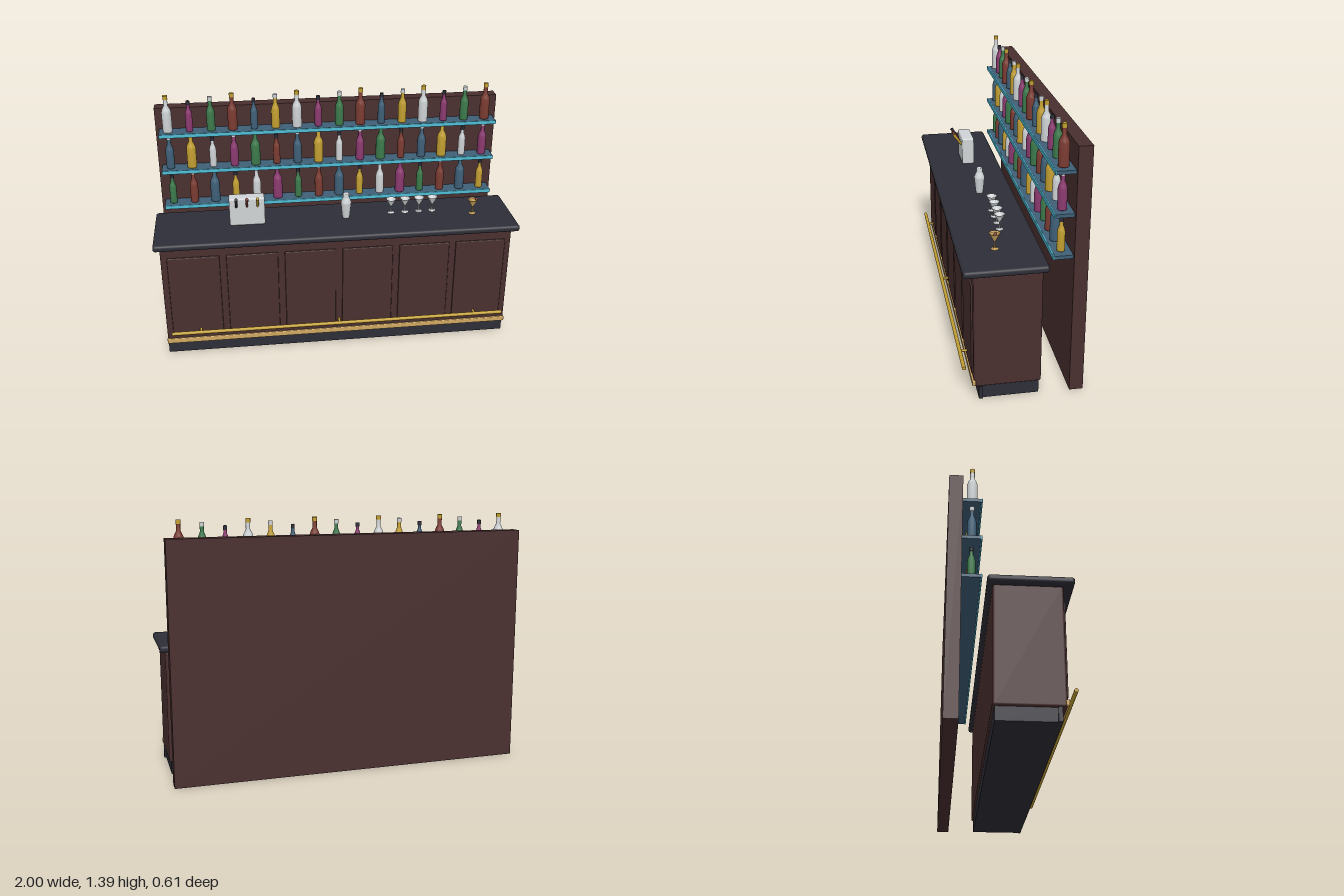
import * as THREE from 'three';
import { RoundedBoxGeometry } from 'three/addons/geometries/RoundedBoxGeometry.js';

const mat = (name, color, side = THREE.FrontSide) =>
  new THREE.MeshStandardMaterial({ name, color, side });

export function createModel() {
  const M = {
    wood: mat('dark wood', 0x4a2f2f),
    dark: mat('charcoal', 0x2e2e38),
    gold: mat('gold', 0xc4a032),
    tan: mat('brass', 0xd0a860, THREE.DoubleSide),
    blue: mat('slate blue', 0x3f6078),
    cyan: mat('cyan', 0x4fbdd6),
    silver: mat('silver', 0xd0d4d6, THREE.DoubleSide),
    plum: mat('plum glass', 0x8c3a70),
    green: mat('green glass', 0x3c7a4c),
    brown: mat('amber glass', 0x7c3c32),
  };
  const model = new THREE.Group();
  model.name = 'bar';

  const add = (name, geo, material, x, y, z, parent = model) => {
    const m = new THREE.Mesh(geo, material);
    m.name = name;
    m.position.set(x, y, z);
    parent.add(m);
    return m;
  };
  const box = (w, h, d) => new THREE.BoxGeometry(w, h, d);
  const lathe = (pts, n = 16) =>
    new THREE.LatheGeometry(pts.map(([r, y]) => new THREE.Vector2(r, y)), n);

  // Counter: plinth, body, raised panels, worktop
  add('plinth', box(1.92, 0.07, 0.3), M.dark, 0, 0.035, 0.072);
  add('plinthFront', box(1.94, 0.07, 0.02), M.dark, 0, 0.035, 0.214);
  add('counterBody', new RoundedBoxGeometry(1.94, 0.615, 0.337, 2, 0.012), M.wood, 0, 0.3775, 0.079);
  for (let i = 0; i < 6; i++) {
    add('frontPanel', new RoundedBoxGeometry(0.282, 0.49, 0.022, 2, 0.005), M.wood,
      (i - 2.5) * 0.318, 0.375, 0.246);
  }
  add('worktop', new RoundedBoxGeometry(2, 0.037, 0.415, 3, 0.015), M.dark, 0, 0.704, 0.0925);

  // Kick strip and foot rail
  add('kickStrip', new RoundedBoxGeometry(1.945, 0.03, 0.018, 2, 0.005), M.tan, 0, 0.092, 0.248);
  add('footRail', new THREE.CylinderGeometry(0.01, 0.01, 1.88, 12).rotateZ(Math.PI / 2),
    M.gold, 0, 0.165, 0.293);
  for (const x of [-0.78, 0, 0.78]) {
    add('railBracket', new THREE.CylinderGeometry(0.007, 0.007, 0.05, 10).rotateX(Math.PI / 2),
      M.gold, x, 0.165, 0.27);
  }

  // Back wall
  add('backWall', box(1.94, 1.3, 0.07), M.wood, 0, 0.65, -0.27);

  // Bottles in three repeating sizes: body radius, body, shoulder and total height
  const sizes = [
    { r: 0.027, body: 0.115, neck: 0.153, h: 0.21, nr: 0.0115, cap: M.gold },
    { r: 0.02, body: 0.1, neck: 0.135, h: 0.175, nr: 0.009, cap: M.dark },
    { r: 0.0235, body: 0.105, neck: 0.145, h: 0.195, nr: 0.0105, cap: M.silver },
  ].map(({ r, body, neck, h, nr, cap }) => ({
    h, cap,
    glass: lathe([[0, 0], [r * 0.92, 0], [r, 0.004], [r, body * 0.5], [r, body],
      [r * 0.85, body + (neck - body) * 0.4], [nr, neck], [nr, h - 0.018]], 14),
    top: new THREE.CylinderGeometry(nr + 0.0015, nr + 0.0015, 0.022, 12),
  }));
  const glassColours = [M.silver, M.plum, M.green, M.brown, M.blue, M.gold];

  // Shelves, top one first
  [1.169, 0.953, 0.738].forEach((y, row) => {
    add('shelf', box(1.9, 0.018, 0.092), M.blue, 0, y, -0.189);
    add('shelfEdge', new RoundedBoxGeometry(1.9, 0.023, 0.008, 2, 0.003), M.cyan, 0, y, -0.14);
    for (let i = 0; i < 16; i++) {
      const s = sizes[(i + 2 * row) % 3];
      const bottle = new THREE.Group();
      bottle.name = 'bottle';
      bottle.position.set((i - 7.5) * 0.1194 - 0.005, y + 0.009, -0.187);
      add('bottleGlass', s.glass, glassColours[(i + 4 * row) % 6], 0, 0, 0, bottle);
      add('bottleCap', s.top, s.cap, 0, s.h - 0.011, 0, bottle);
      model.add(bottle);
    }
  });

  const top = 0.7225;

  // Tap tower with three leaning handles
  const tower = new THREE.Group();
  tower.name = 'tapTower';
  tower.position.set(-0.49, top, 0.072);
  add('towerBody', new RoundedBoxGeometry(0.195, 0.162, 0.072, 2, 0.01), M.silver, 0, 0.081, 0, tower);
  [M.dark, M.brown, M.gold].forEach((m, i) => {
    const h = add('tapHandle', new THREE.CylinderGeometry(0.009, 0.006, 0.08, 10), m,
      (i - 1) * 0.058, 0.147, 0.058, tower);
    h.rotation.x = 0.62;
  });
  model.add(tower);

  // Cocktail shaker
  add('shaker', lathe([[0, 0], [0.019, 0], [0.021, 0.01], [0.029, 0.09], [0.029, 0.097],
    [0.019, 0.122], [0.017, 0.126], [0.017, 0.146], [0.013, 0.15], [0, 0.15]], 18),
    M.silver, 0.06, top, 0.075);

  // Stemmed glasses with a flat drink surface
  const glass = lathe([[0, 0], [0.018, 0], [0.018, 0.003], [0.004, 0.007], [0.0035, 0.042],
    [0.029, 0.087], [0.026, 0.085], [0, 0.045]], 18);
  for (const x of [0.32, 0.4, 0.48, 0.557]) add('cocktailGlass', glass, M.silver, x, top, 0.05);
  add('filledGlass', glass, M.tan, 0.775, top, 0.113);
  add('drink', new THREE.CircleGeometry(0.023, 18).rotateX(-Math.PI / 2), M.tan, 0.775, top + 0.08, 0.113);
  add('cherry', new THREE.SphereGeometry(0.009, 12, 8), M.brown, 0.795, top + 0.088, 0.113);

  return model;
}
